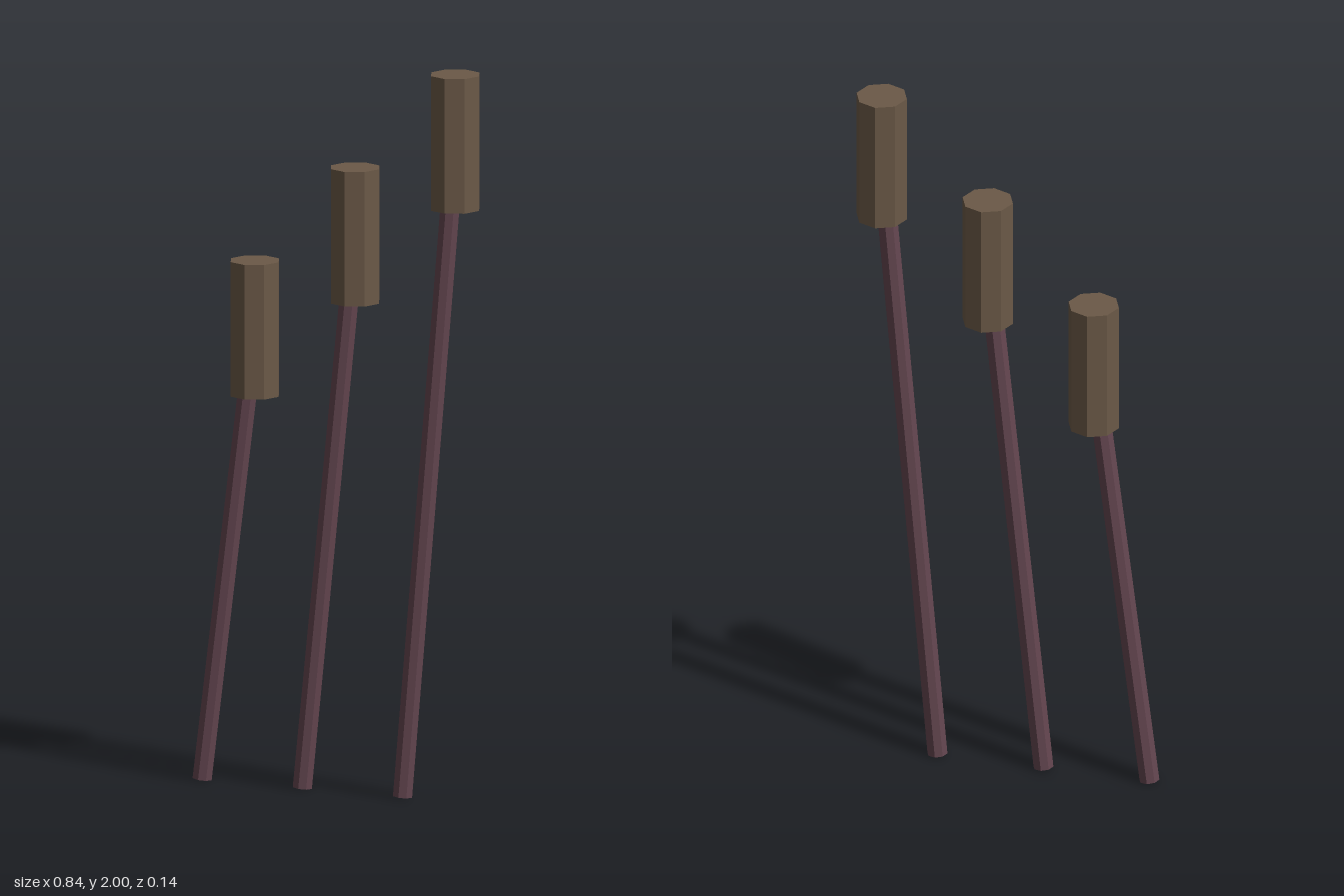
import * as THREE from 'three';

export function createModel() {
  const model = new THREE.Group();
  model.name = 'cattails';

  const headBrown = new THREE.MeshStandardMaterial({ color: 0x6b5947, flatShading: true });
  headBrown.name = 'head brown';
  const stemPurple = new THREE.MeshStandardMaterial({ color: 0x644650, flatShading: true });
  stemPurple.name = 'stem purple';

  const headRadius = 0.07, headHeight = 0.37, stemRadius = 0.028, lean = 0.155;
  const up = new THREE.Vector3(0, 1, 0);

  // Each reed: x of the stem foot and height of the head's middle
  const reeds = [[-0.395, 1.255], [-0.1, 1.535], [0.195, 1.815]];

  reeds.forEach(([footX, headY], i) => {
    const reed = new THREE.Group();
    reed.name = `reed${i + 1}`;

    // Leaning stem, running up to the middle of the head
    const foot = new THREE.Vector3(footX, 0.003, 0);
    const tip = new THREE.Vector3(footX + lean, headY, 0);
    const axis = tip.clone().sub(foot);
    const stem = new THREE.Mesh(
      new THREE.CylinderGeometry(stemRadius, stemRadius, axis.length(), 8), stemPurple);
    stem.name = 'stem';
    stem.position.copy(foot).lerp(tip, 0.5);
    stem.quaternion.setFromUnitVectors(up, axis.normalize());

    // Upright eight-sided head
    const head = new THREE.Mesh(
      new THREE.CylinderGeometry(headRadius, headRadius, headHeight, 8), headBrown);
    head.name = 'head';
    head.position.copy(tip);

    reed.add(stem, head);
    model.add(reed);
  });

  return model;
}
